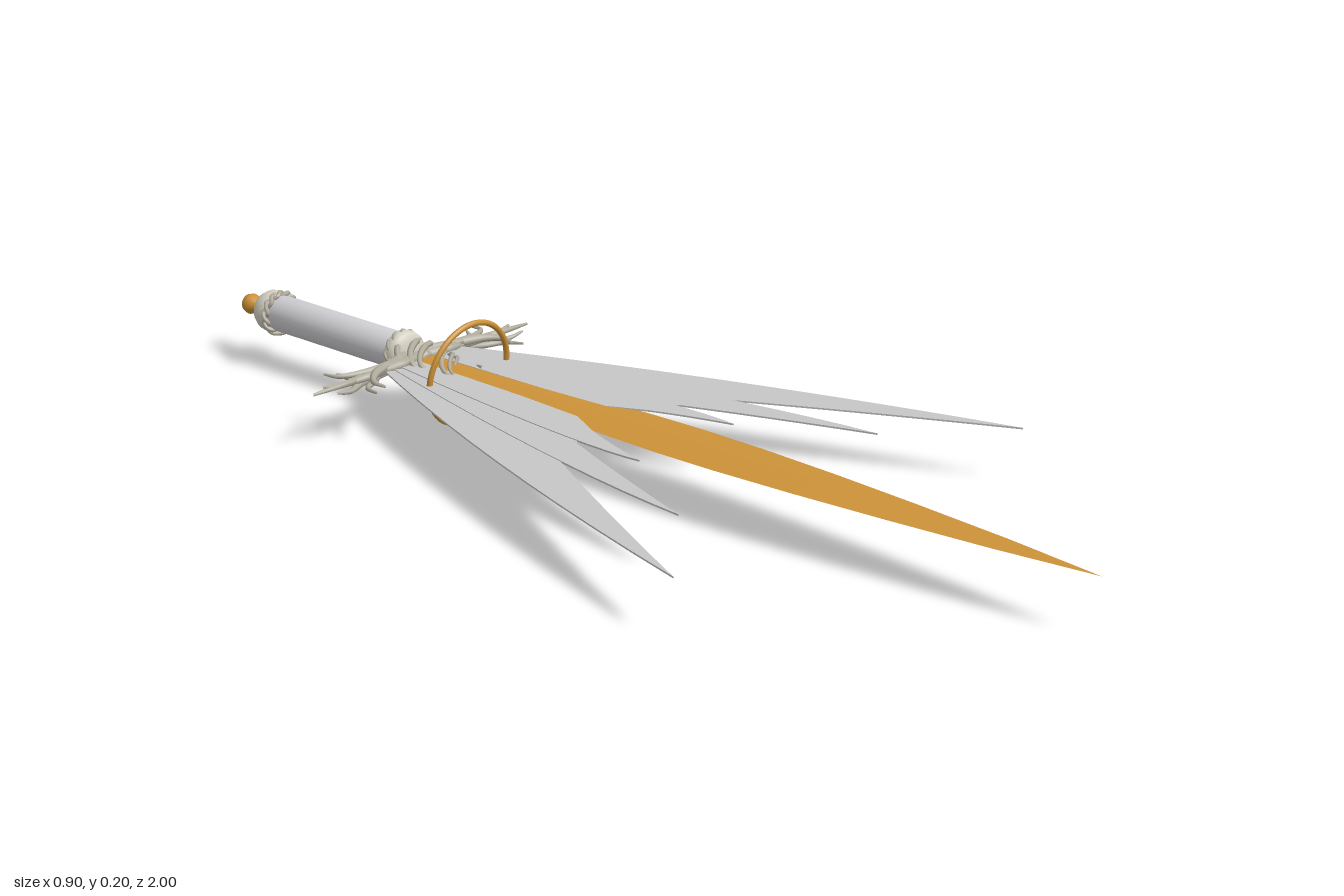
import * as THREE from 'three';

const CY = 0.105; // height of the sword's long axis
const mat = (name, color, side = THREE.FrontSide) => {
  const m = new THREE.MeshStandardMaterial({ color, side });
  m.name = name;
  return m;
};

export function createModel() {
  const gold = mat('gold', 0xcc9238);
  const silver = mat('silver feather', 0xc6c6c6);
  const grip = mat('pale grip', 0xd0d0d4);
  const ivory = mat('ivory', 0xd6d2c4);
  const vine = mat('weathered vine', 0xb4afa0);
  const model = new THREE.Group();
  model.name = 'wingedSword';

  const add = (name, geometry, material, parent = model) => {
    const mesh = new THREE.Mesh(geometry, material);
    mesh.name = name;
    parent.add(mesh);
    return mesh;
  };
  // Turned part along z, from [radius, z] pairs with z increasing
  const turned = (points, sides) =>
    new THREE.LatheGeometry(points.map(p => new THREE.Vector2(...p)), sides)
      .rotateX(Math.PI / 2).translate(0, CY, 0);

  // Tube that thins towards its end; points are [x, y offset, z]
  const twig = (name, points, r, taper, parent, closed = false) => {
    const curve = new THREE.CatmullRomCurve3(
      points.map(([x, y, z]) => new THREE.Vector3(x, CY + y, z)), closed);
    const segs = points.length * 4, sides = 6;
    const geo = new THREE.TubeGeometry(curve, segs, r, sides, closed);
    const pos = geo.attributes.position, v = new THREE.Vector3();
    for (let i = 0; i < pos.count; i++) {
      const t = Math.floor(i / (sides + 1)) / segs;
      v.fromBufferAttribute(pos, i).lerp(curve.getPointAt(t), taper * t * t);
      pos.setXYZ(i, v.x, v.y, v.z);
    }
    add(name, geo, vine, parent);
  };

  // Blade: a long leaf with a flattened diamond section
  const blade = new THREE.LatheGeometry([
    [0, -0.55], [0.038, -0.54], [0.042, -0.4], [0.054, -0.2], [0.066, 0], [0.069, 0.12],
    [0.067, 0.25], [0.058, 0.42], [0.044, 0.6], [0.025, 0.8], [0, 0.995],
  ].map(p => new THREE.Vector2(...p)), 4).rotateX(Math.PI / 2)
    .scale(1, 0.12, 1).translate(0, CY, 0).toNonIndexed();
  blade.computeVertexNormals();
  add('blade', blade, gold);

  // Wings: three layered feathers each side; points are (x, z)
  const feathers = [
    { root: [0.08, -0.545], bulge: [0.295, -0.07], tip: [0.45, 0.51], hollow: [0.32, 0.24], notch: [0.205, 0.03] },
    { root: [0.07, -0.54], bulge: [0.23, 0.04], tip: [0.255, 0.345], hollow: [0.19, 0.15], notch: [0.13, 0] },
    { root: [0.06, -0.535], bulge: [0.14, 0], tip: [0.12, 0.135], hollow: [0.095, 0.04], notch: [0.07, -0.02] },
  ];
  for (const s of [1, -1]) {
    const wing = new THREE.Group();
    wing.name = s > 0 ? 'leftWing' : 'rightWing';
    model.add(wing);
    feathers.forEach((f, i) => {
      const shape = new THREE.Shape();
      const p = ([x, z]) => [s * x, z];
      shape.moveTo(...p([0.02, -0.53]));
      shape.lineTo(...p(f.root));
      shape.quadraticCurveTo(...p(f.bulge), ...p(f.tip));
      shape.quadraticCurveTo(...p(f.hollow), ...p(f.notch));
      shape.lineTo(...p([0.03, -0.1]));
      const geo = new THREE.ExtrudeGeometry(shape, { depth: 0.003, bevelEnabled: false, curveSegments: 10 });
      geo.rotateX(Math.PI / 2).translate(0, CY + 0.0015 + (i - 1) * 0.0015, 0);
      add('feather', geo, silver, wing);
    });

    // Branching cross guard
    const guard = new THREE.Group();
    guard.name = s > 0 ? 'leftGuard' : 'rightGuard';
    model.add(guard);
    const branches = [
      [[-0.02, 0, -0.53], [0.06, 0.006, -0.505], [0.12, -0.004, -0.525], [0.19, 0.004, -0.505], [0.27, 0, -0.512]],
      [[0, 0.006, -0.51], [0.07, -0.006, -0.53], [0.14, 0.006, -0.5], [0.2, -0.003, -0.52], [0.235, 0.003, -0.525]],
      [[0.02, 0.004, -0.54], [0.09, 0.008, -0.515], [0.15, 0.006, -0.525], [0.182, 0.004, -0.545], [0.185, 0.002, -0.575]],
      [[0.02, -0.004, -0.5], [0.09, -0.008, -0.525], [0.14, -0.006, -0.495], [0.172, -0.004, -0.475], [0.185, 0, -0.435]],
      [[0.1, 0.008, -0.51], [0.14, 0.01, -0.49], [0.165, 0.008, -0.465], [0.16, 0.004, -0.44]],
      [[0.09, -0.006, -0.52], [0.15, -0.009, -0.515], [0.2, -0.006, -0.49], [0.235, 0, -0.488]],
      [[0.1, -0.006, -0.525], [0.15, -0.006, -0.54], [0.165, 0, -0.565]],
    ];
    branches.forEach((b, i) =>
      twig('guardTwig', b.map(([x, y, z]) => [s * x, y, z]), i < 2 ? 0.011 : 0.009, 0.75, guard));
  }

  // Vines winding around the base of the blade
  const wrap = new THREE.Group();
  wrap.name = 'bladeVines';
  model.add(wrap);
  for (let k = 0; k < 6; k++) {
    const pts = [];
    for (let i = 0; i <= 12; i++) {
      const t = i / 12, a = k * Math.PI / 3 + t * 5;
      pts.push([Math.cos(a) * (0.052 - 0.02 * t), Math.sin(a) * (0.025 - 0.015 * t),
        -0.55 + t * (0.13 + 0.02 * (k % 3))]);
    }
    twig('bladeVine', pts, 0.0065, 0.6, wrap);
  }

  // Tilted ring around the blade
  const ring = add('ring', new THREE.TorusGeometry(0.097, 0.0055, 10, 64), gold);
  ring.position.set(0, CY, -0.394);
  ring.rotation.x = 0.13;

  // Handle with its collars
  add('handle', turned([[0, -0.91], [0.035, -0.905], [0.035, -0.56], [0, -0.555]], 32), grip);
  add('frontCollar', turned([[0.034, -0.578], [0.041, -0.572], [0.043, -0.56], [0.04, -0.548],
    [0.03, -0.54], [0, -0.537]], 32), ivory);
  add('pommelCap', turned([[0, -0.95], [0.018, -0.948], [0.032, -0.94], [0.039, -0.928],
    [0.041, -0.912], [0.038, -0.9], [0.034, -0.895]], 32), ivory);

  // Twisted wreaths at both ends of the handle
  for (const z of [-0.565, -0.9]) {
    const wreath = new THREE.Group();
    wreath.name = 'wreath';
    model.add(wreath);
    for (const phase of [0, Math.PI]) {
      const pts = [];
      for (let i = 0; i < 24; i++) {
        const a = i / 24 * Math.PI * 2, w = a * 6 + phase;
        const r = 0.038 + 0.003 * Math.cos(w);
        pts.push([Math.cos(a) * r, Math.sin(a) * r, z + 0.006 * Math.sin(w)]);
      }
      twig('wreathStrand', pts, 0.0042, 0, wreath, true);
    }
  }

  // Finial: a small drop on a narrow stem
  add('finial', turned([[0, -1], [0.009, -0.998], [0.017, -0.991], [0.02, -0.981], [0.017, -0.971],
    [0.011, -0.962], [0.007, -0.954], [0.008, -0.946], [0, -0.944]], 24), gold);

  return model;
}
